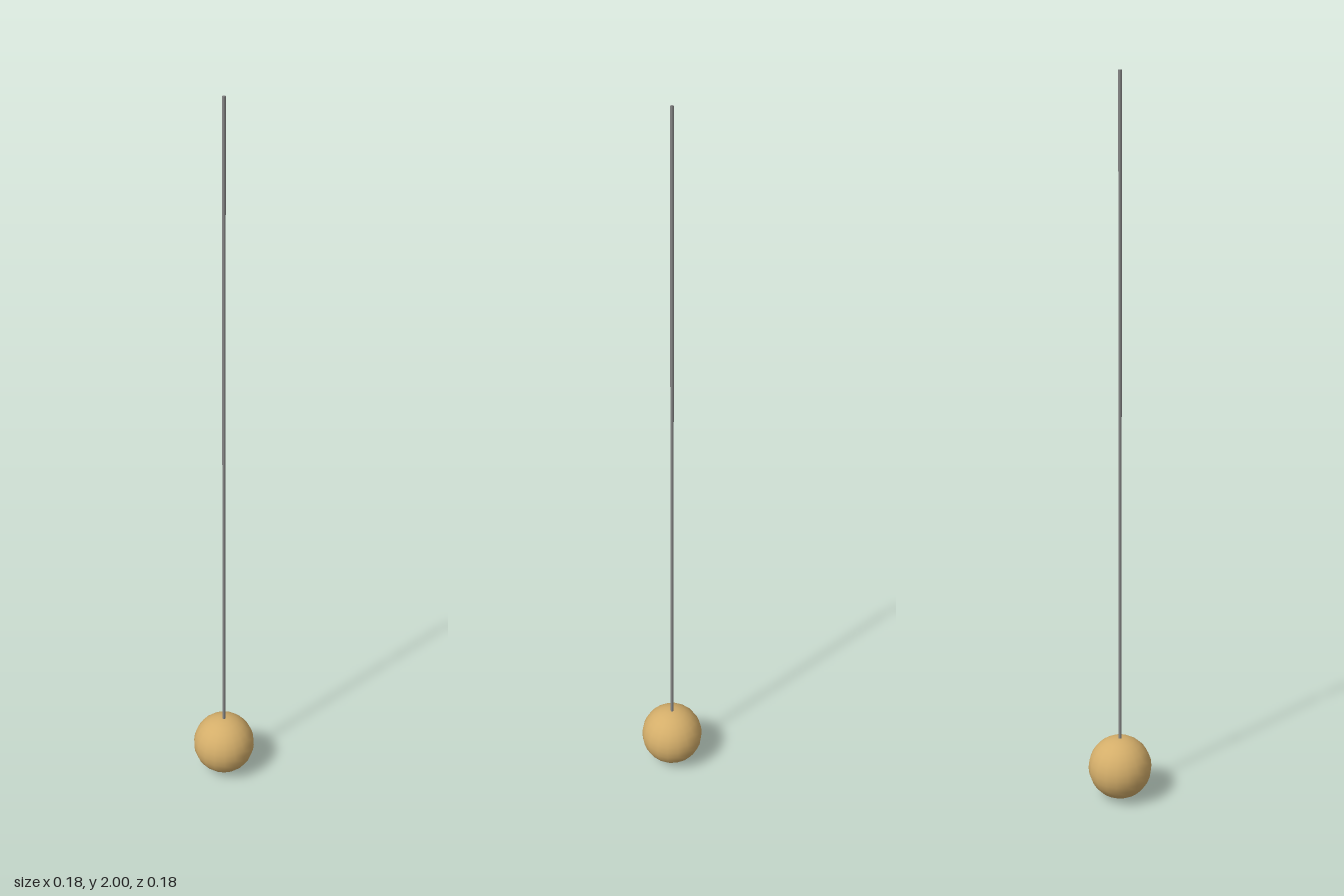
import * as THREE from 'three';

const BALL_RADIUS = 0.09;
const ROD_RADIUS = 0.0045;
const HEIGHT = 2;

export function createModel() {
  const model = new THREE.Group();
  model.name = 'pendulum';

  // Brass ball resting on the ground
  const ball = new THREE.Mesh(
    new THREE.SphereGeometry(BALL_RADIUS, 18, 14),
    new THREE.MeshStandardMaterial({ color: 0xd4ae6a })
  );
  ball.name = 'bob';
  ball.position.y = BALL_RADIUS;
  ball.rotation.y = Math.PI / 2;
  model.add(ball);

  // Thin rod rising from the middle of the ball
  const length = HEIGHT - BALL_RADIUS;
  const rod = new THREE.Mesh(
    new THREE.CylinderGeometry(ROD_RADIUS, ROD_RADIUS, length, 6),
    new THREE.MeshStandardMaterial({ color: 0x8a8a8a })
  );
  rod.name = 'rod';
  rod.position.y = BALL_RADIUS + length / 2;
  model.add(rod);

  return model;
}
